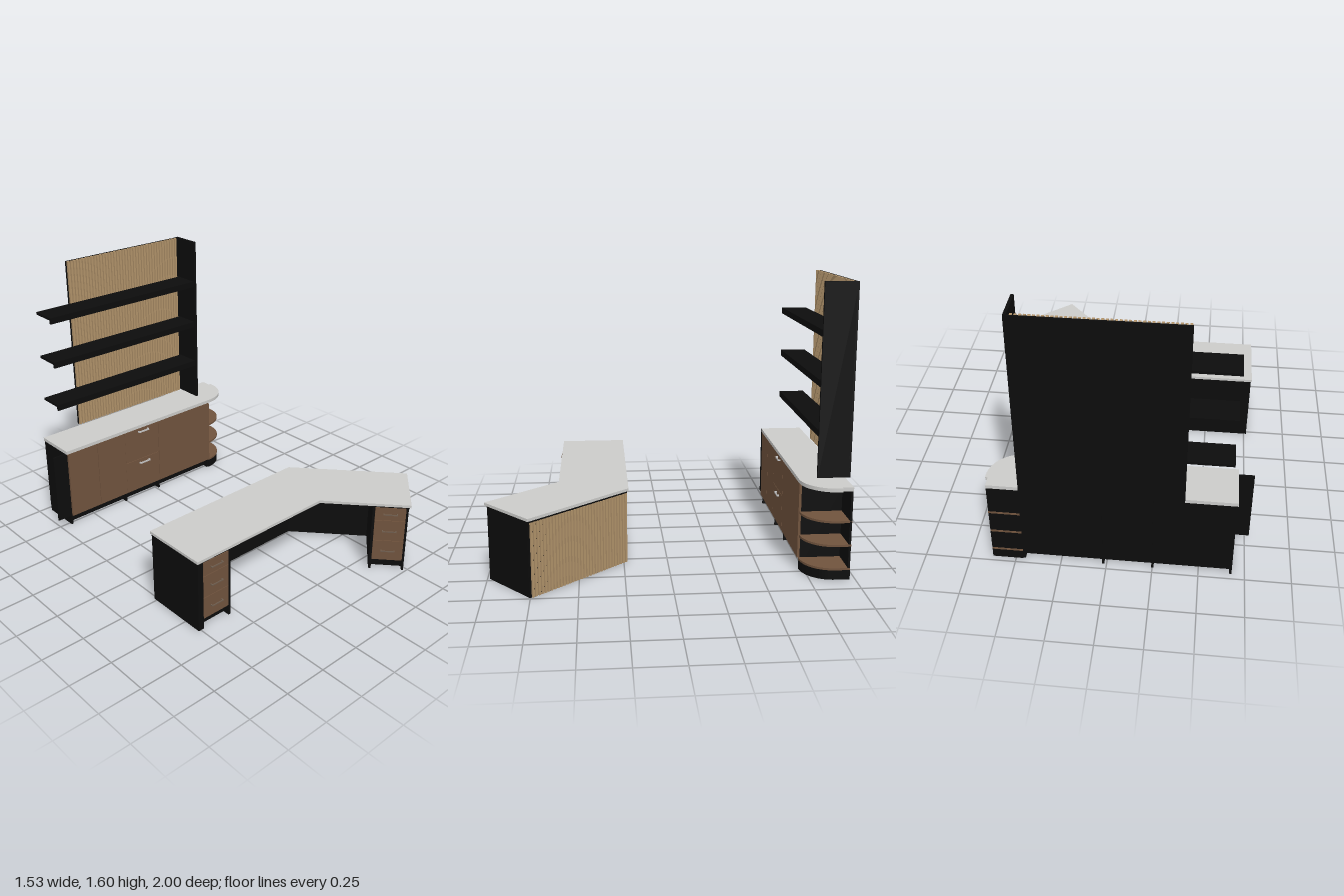
import * as THREE from 'three';

const mat = (name, color) => {
  const m = new THREE.MeshStandardMaterial({ color });
  m.name = name;
  return m;
};

export function createModel() {
  const black = mat('black laminate', 0x0c0c0c);
  const stone = mat('pale stone', 0xcbcbc9);
  const walnut = mat('walnut', 0x70533d);
  const oak = mat('oak slat', 0xb0926a);
  const silver = mat('silver', 0xc4c4c4);
  const bronze = mat('bronze', 0x6e5d4e);

  const model = new THREE.Group();
  model.name = 'officeFurniture';
  const group = (name, parent = model) => {
    const g = new THREE.Group();
    g.name = name;
    parent.add(g);
    return g;
  };
  // Box given by its limits on each axis
  const box = (parent, name, m, x0, x1, y0, y1, z0, z1) => {
    const mesh = new THREE.Mesh(new THREE.BoxGeometry(x1 - x0, y1 - y0, z1 - z0), m);
    mesh.position.set((x0 + x1) / 2, (y0 + y1) / 2, (z0 + z1) / 2);
    mesh.name = name;
    parent.add(mesh);
    return mesh;
  };
  // Flat slab from a plan outline drawn in x, z
  const slab = (parent, name, m, shape, y0, y1) => {
    const geo = new THREE.ExtrudeGeometry(shape, { depth: y1 - y0, bevelEnabled: false, curveSegments: 20 });
    geo.rotateX(Math.PI / 2);
    const mesh = new THREE.Mesh(geo, m);
    mesh.position.y = y1;
    mesh.name = name;
    parent.add(mesh);
  };
  const outline = (pts) => new THREE.Shape(pts.map(([x, z]) => new THREE.Vector2(x, z)));
  // Bar handle on two short posts
  const handle = (parent, m, x, y, z, t) => {
    const h = group('handle', parent);
    const w = 0.04;
    box(h, 'handleBar', m, x - w, x + w, y - t, y + t, z + 0.01, z + 0.015);
    for (const s of [-1, 1]) {
      const px = x + s * (w - 0.003);
      box(h, 'handlePost', m, px - 0.003, px + 0.003, y - t, y + t, z, z + 0.011);
    }
  };
  const slats = (parent, x0, x1, y0, y1, z0, z1, count) => {
    const pitch = (x1 - x0) / count;
    for (let i = 0; i < count; i++) {
      const x = x0 + (i + 0.2) * pitch;
      box(parent, 'slat', oak, x, x + pitch * 0.62, y0, y1, z0, z1);
    }
  };
  // Three-drawer pedestal facing +z; x0..x1 are the drawer fronts
  const pedestal = (parent, x0, x1, left, right, zBack, zFront) => {
    const p = group('pedestal', parent);
    box(p, 'pedestalSide', black, x0 - left, x0 - left + 0.015, 0, 0.415, zBack, zFront);
    if (left > 0.02) box(p, 'pedestalFiller', black, x0 - left + 0.015, x0, 0, 0.415, zFront - 0.02, zFront);
    box(p, 'pedestalSide', black, x1, x1 + right, 0, 0.415, zBack, zFront);
    box(p, 'pedestalBody', black, x0, x1, 0.06, 0.415, zBack, zFront - 0.012);
    box(p, 'toeKick', black, x0, x1, 0, 0.06, zFront - 0.05, zFront - 0.04);
    for (const [y0, y1, hy] of [[0.065, 0.194, 0.13], [0.197, 0.328, 0.262], [0.331, 0.414, 0.374]]) {
      box(p, 'drawerFront', walnut, x0 + 0.001, x1 - 0.001, y0, y1, zFront - 0.012, zFront + 0.002);
      handle(p, bronze, (x0 + x1) / 2, hy, zFront + 0.002, 0.003);
    }
  };

  // Angled desk
  const desk = group('desk');
  slab(desk, 'deskTop', stone,
    outline([[-0.77, 0.22], [0.29, 0.22], [0.76, 0.75], [0.48, 1], [0.14, 0.615], [-0.77, 0.615]]), 0.424, 0.44);
  slab(desk, 'deskUnderlay', black,
    outline([[-0.765, 0.228], [0.286, 0.228], [0.75, 0.751], [0.48, 0.988], [0.144, 0.607], [-0.765, 0.607]]), 0.412, 0.424);
  box(desk, 'modestyPanel', black, -0.765, 0.285, 0, 0.413, 0.23, 0.245);
  pedestal(desk, -0.73, -0.555, 0.035, 0.015, 0.24, 0.61);

  // Desk wing, in its own frame along the slanted side
  const wing = group('deskWing', desk);
  wing.position.set(0.29, 0, 0.22);
  wing.rotation.y = -0.845;
  box(wing, 'wingBackPanel', black, 0.005, 0.695, 0, 0.413, 0.014, 0.026);
  slats(wing, 0.005, 0.69, 0.002, 0.412, 0.004, 0.014, 33);
  pedestal(wing, 0.51, 0.685, 0.015, 0.012, 0.02, 0.368);

  // Credenza carcass
  const cred = group('credenza');
  const top = new THREE.Shape();
  top.moveTo(-0.685, -0.97);
  top.lineTo(0.63, -0.97);
  top.lineTo(0.63, -0.91);
  top.absarc(0.465, -0.89, 0.18, -0.1, Math.PI / 2, false);
  top.lineTo(-0.685, -0.71);
  slab(cred, 'credenzaTop', stone, top, 0.504, 0.525);
  box(cred, 'carcassTop', black, -0.68, 0.46, 0.492, 0.504, -0.965, -0.73);
  box(cred, 'carcassBottom', black, -0.68, 0.46, 0.055, 0.067, -0.965, -0.73);
  for (const x of [-0.68, -0.257, 0.013, 0.448])
    box(cred, 'uprightPanel', black, x, x + 0.012, 0, 0.504, -0.965, -0.728);
  for (const [a, b] of [[-0.68, -0.252], [-0.248, 0.017], [0.021, 0.46]])
    box(cred, 'backPanel', black, a, b, 0.04, 0.504, -0.968, -0.958);
  box(cred, 'toeKick', black, -0.67, 0.45, 0, 0.056, -0.775, -0.765);
  box(cred, 'sidePanel', black, -0.77, -0.68, 0.065, 0.504, -0.735, -0.725);

  // Credenza fronts
  const front = (name, x0, x1, y0, y1) => box(cred, name, walnut, x0, x1, y0, y1, -0.728, -0.714);
  front('door', -0.672, -0.461, 0.065, 0.503);
  front('door', -0.458, -0.25, 0.065, 0.503);
  front('drawerFront', -0.249, 0.018, 0.065, 0.28);
  front('drawerFront', -0.249, 0.018, 0.283, 0.503);
  front('door', 0.021, 0.46, 0.065, 0.503);
  for (const y of [0.255, 0.48]) handle(cred, silver, -0.105, y, -0.714, 0.005);

  // Rounded open end shelves
  const quarter = (r) => {
    const s = new THREE.Shape();
    s.moveTo(0.46, -0.97);
    s.lineTo(0.46 + r, -0.97);
    s.lineTo(0.46 + r, -0.89);
    s.absarc(0.46, -0.89, r, 0, Math.PI / 2, false);
    return s;
  };
  for (const y of [0.055, 0.19, 0.325]) slab(cred, 'endShelf', walnut, quarter(0.17), y, y + 0.012);
  slab(cred, 'endPlinth', black, quarter(0.168), 0, 0.055);
  box(cred, 'endBackPanel', black, 0.46, 0.63, 0, 0.504, -0.968, -0.956);

  // Slatted wall panel with side fin
  const wall = group('wallPanel');
  box(wall, 'wallBacking', black, -0.412, 0.45, 0.525, 1.598, -1, -0.99);
  slats(wall, -0.412, 0.425, 0.526, 1.598, -0.99, -0.975, 40);
  box(wall, 'sideFin', black, 0.434, 0.45, 0.525, 1.6, -0.999, -0.815);

  // Floating shelves with a deeper front lip
  for (const y of [0.75, 1.027, 1.303]) {
    const s = group('wallShelf');
    box(s, 'shelfBoard', black, -0.65, 0.434, y + 0.022, y + 0.037, -0.975, -0.82);
    box(s, 'shelfLip', black, -0.65, 0.434, y, y + 0.022, -0.834, -0.82);
  }
  return model;
}
